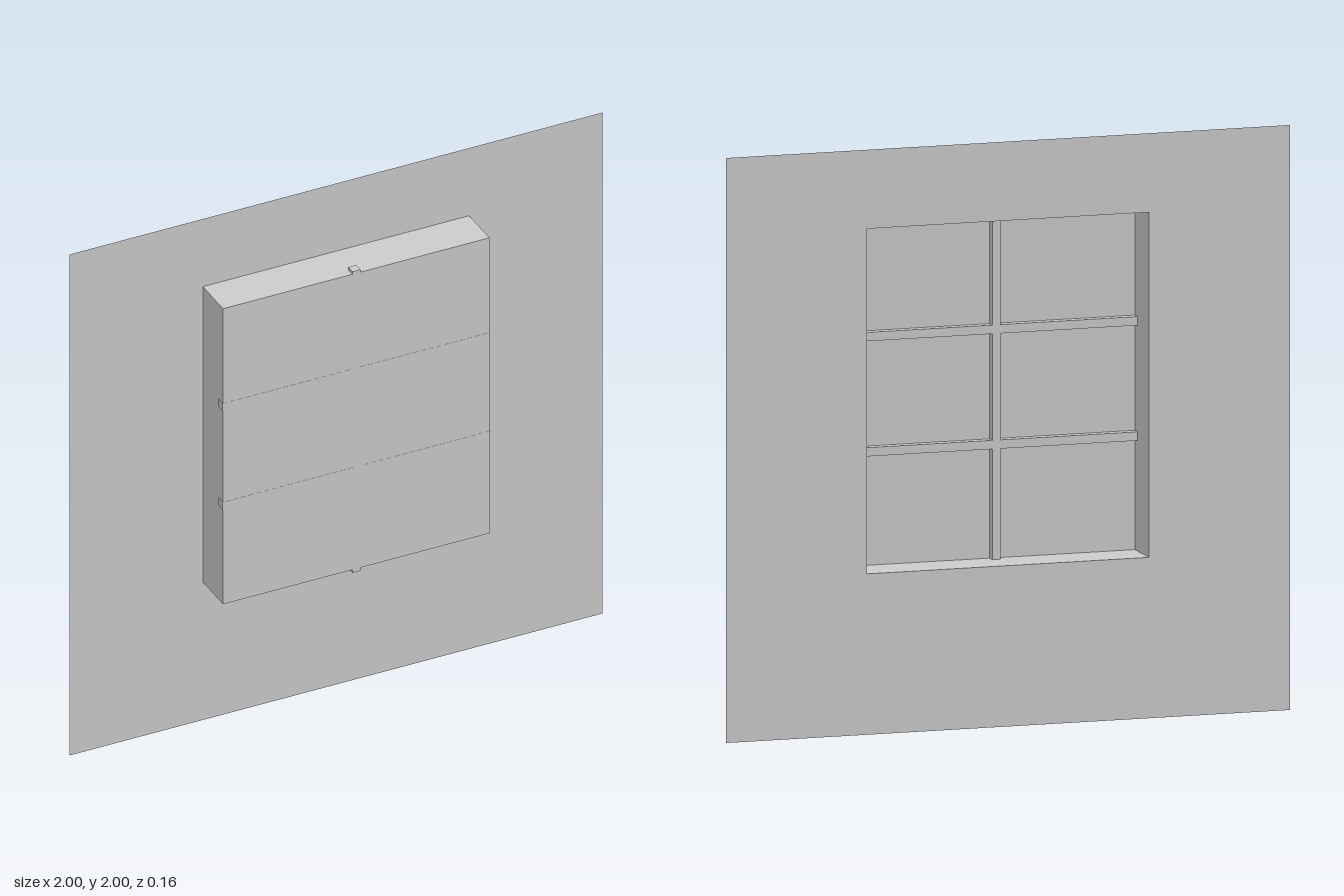
import * as THREE from 'three';

export function createModel() {
  const model = new THREE.Group();
  model.name = 'windowPanel';
  const grey = new THREE.MeshStandardMaterial({ color: 0xcccccc, side: THREE.DoubleSide });
  grey.name = 'grey';

  const add = (name, geometry, x = 0, y = 0, z = 0) => {
    const mesh = new THREE.Mesh(geometry, grey);
    mesh.name = name;
    mesh.position.set(x, y, z);
    model.add(mesh);
    return mesh;
  };

  const halfWidth = 0.5, bottom = 0.55, top = 1.73, depth = 0.154;
  const height = top - bottom, midY = (top + bottom) / 2;

  // Thin wall sheet with the window opening cut out
  const wall = new THREE.Shape([
    new THREE.Vector2(-1, 0), new THREE.Vector2(1, 0),
    new THREE.Vector2(1, 2), new THREE.Vector2(-1, 2),
  ]);
  wall.holes.push(new THREE.Path([
    new THREE.Vector2(-halfWidth, bottom), new THREE.Vector2(-halfWidth, top),
    new THREE.Vector2(halfWidth, top), new THREE.Vector2(halfWidth, bottom),
  ]));
  add('wall', new THREE.ShapeGeometry(wall), 0, 0, -depth / 2);

  // Four sides of the recess, open at the back
  const reveal = new THREE.BoxGeometry(halfWidth * 2, height, depth);
  reveal.setIndex(Array.from(reveal.index.array).slice(0, 24));
  reveal.clearGroups();
  add('reveal', reveal, 0, midY, 0);

  // Pane closing the front of the recess
  add('pane', new THREE.PlaneGeometry(halfWidth * 2, height), 0, midY, depth / 2);

  // Glazing bars, standing just proud of the pane
  const bar = 0.03;
  add('verticalBar', new THREE.BoxGeometry(bar, height + 0.022, 0.032), 0, midY, 0.0625);
  for (const y of [0.943, 1.337]) {
    add('horizontalBar', new THREE.BoxGeometry(halfWidth * 2 + 0.004, bar, 0.031), 0, y, 0.062);
  }

  return model;
}
